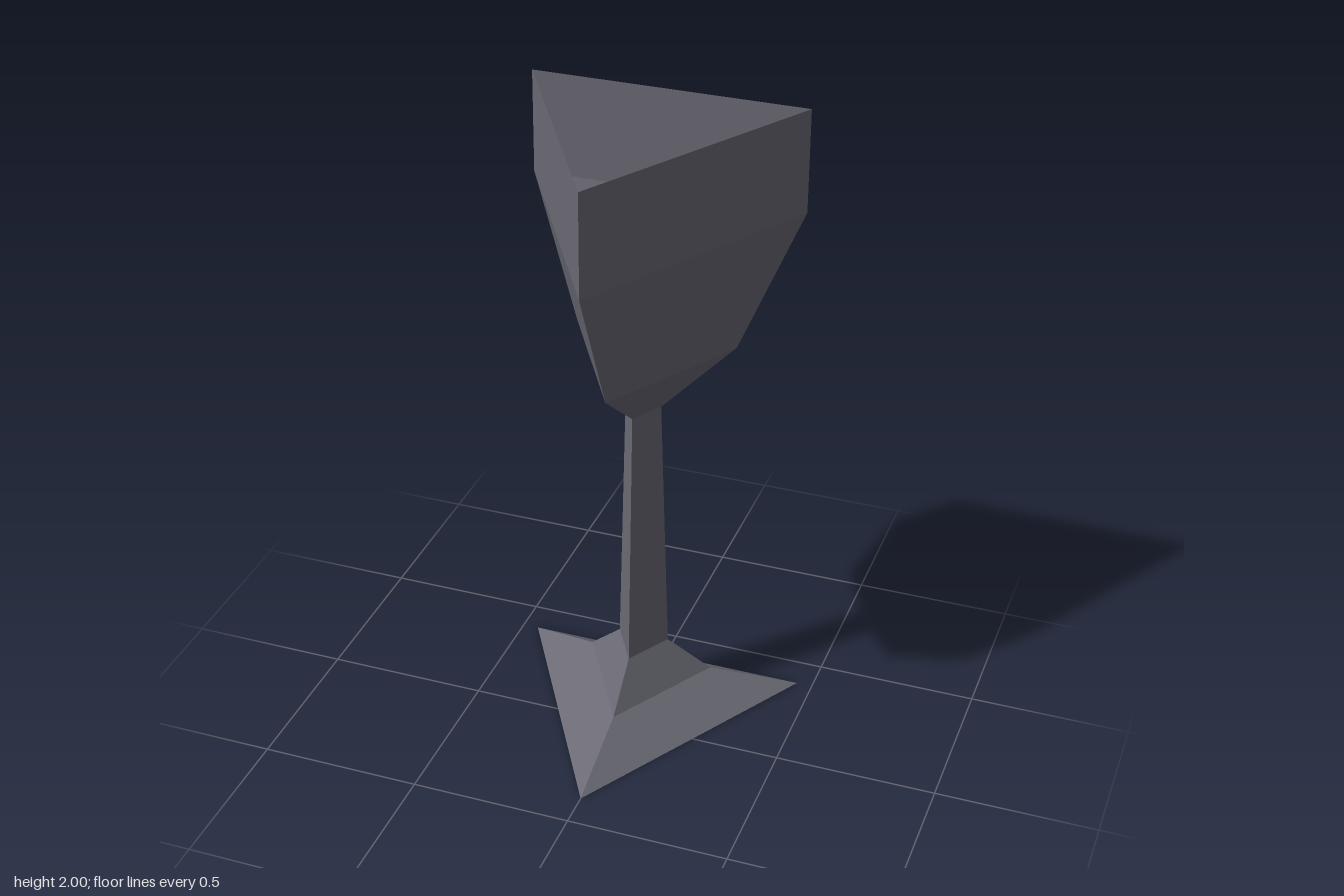
import * as THREE from 'three';

// Three-sided hollow goblet, one corner facing the front, open at top and bottom
const SIDES = 3;
const AXIS_Z = -0.13;

export function createModel() {
  const goblet = new THREE.Group();
  goblet.name = 'goblet';

  const smokyGrey = new THREE.MeshStandardMaterial({
    color: 0x6b6a75, flatShading: true, side: THREE.DoubleSide,
  });
  smokyGrey.name = 'smokyGrey';

  // Profiles run upward as [corner radius, height]
  const profiles = {
    foot: [[0.52, 0], [0.232, 0.1], [0.093, 0.228]],
    stem: [[0.093, 0.228], [0.065, 1.08]],
    bowl: [[0.065, 1.08], [0.29, 1.258], [0.486, 1.68], [0.486, 2]],
  };

  for (const [name, profile] of Object.entries(profiles)) {
    const points = profile.map(([r, y]) => new THREE.Vector2(r, y));
    const part = new THREE.Mesh(new THREE.LatheGeometry(points, SIDES), smokyGrey);
    part.name = name;
    part.position.z = AXIS_Z;
    goblet.add(part);
  }

  return goblet;
}
